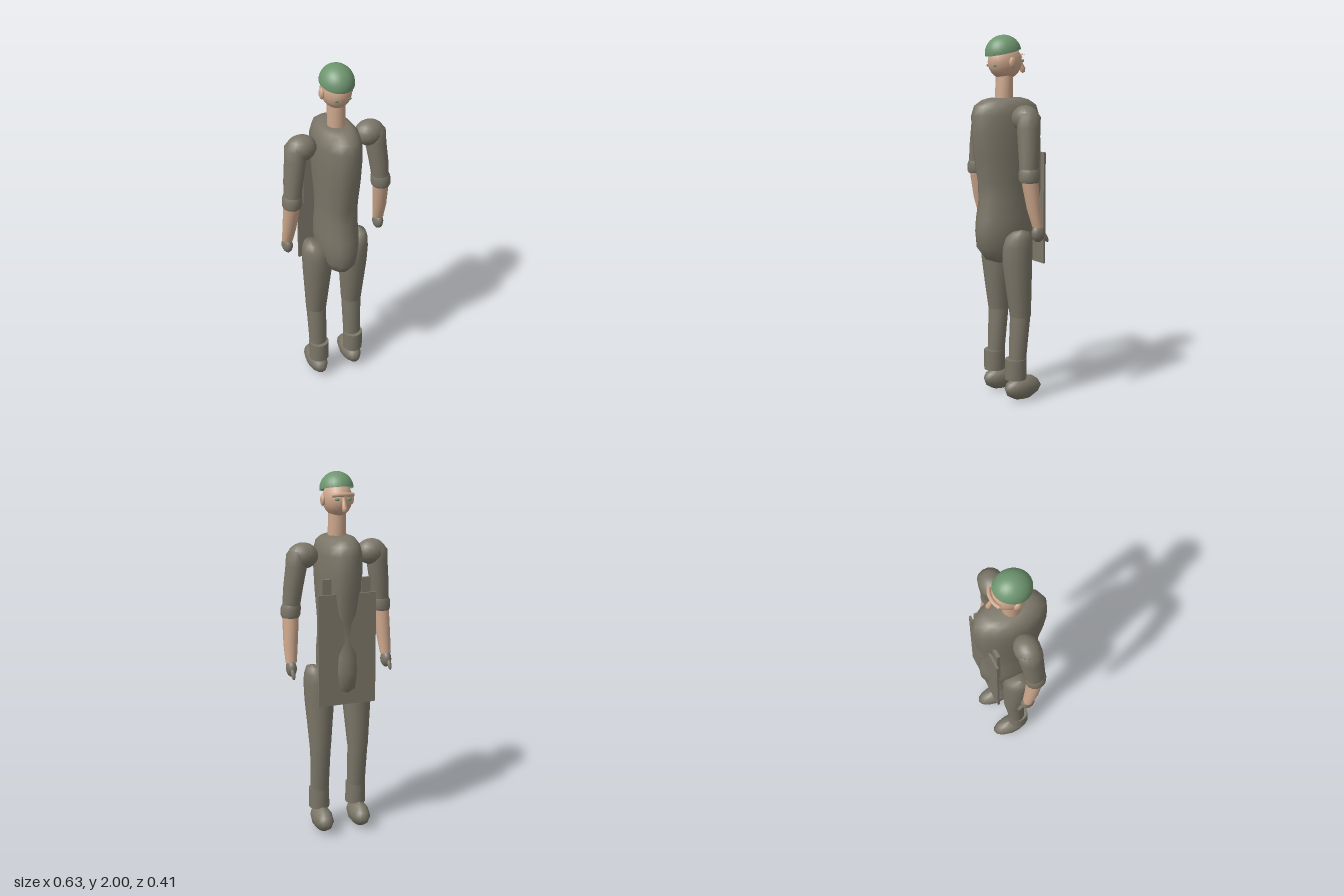
import * as THREE from 'three';

const mat = (name, color, side = THREE.FrontSide) => {
  const m = new THREE.MeshStandardMaterial({ color, side });
  m.name = name;
  return m;
};

// Stacked elliptical rings, bottom to top: [y, rx, rz, cx, cz]. Repeat a ring for a hard edge.
function loft(rings, seg = 14) {
  const pos = [], idx = [];
  rings.forEach(([y, rx, rz, cx = 0, cz = 0], i) => {
    for (let j = 0; j < seg; j++) {
      const a = (j / seg) * Math.PI * 2;
      pos.push(cx + rx * Math.sin(a), y, cz + rz * Math.cos(a));
      if (i === rings.length - 1) continue;
      const p = i * seg + j, q = i * seg + ((j + 1) % seg);
      idx.push(p, q, q + seg, p, q + seg, p + seg);
    }
  });
  const g = new THREE.BufferGeometry();
  g.setAttribute('position', new THREE.Float32BufferAttribute(pos, 3));
  g.setIndex(idx);
  g.computeVertexNormals();
  return g;
}

// Rings closed with flat, hard-edged ends.
function capped(rings, seg) {
  const end = ([y, , , cx, cz]) => [y, 0, 0, cx, cz];
  const a = rings[0], b = rings[rings.length - 1];
  return loft([end(a), a, ...rings, b, end(b)], seg);
}

const ball = (rx, ry, rz, w = 16, h = 12) => new THREE.SphereGeometry(1, w, h).scale(rx, ry, rz);

export function createModel() {
  const model = new THREE.Group();
  model.name = 'figure';
  const cloth = mat('cloth grey', 0x7b7668);
  const skin = mat('skin', 0xcda78c);
  const green = mat('cap green', 0x6e956f, THREE.DoubleSide);

  const add = (name, geo, material, x = 0, y = 0, z = 0, rx = 0, rz = 0) => {
    const m = new THREE.Mesh(geo, material);
    m.name = name;
    m.position.set(x, y, z);
    m.rotation.set(rx, 0, rz);
    model.add(m);
    return m;
  };

  // Torso, deep from front to back
  add('torso', loft([
    [0.768, 0, 0], [0.772, 0.035, 0.06], [0.795, 0.07, 0.125], [0.86, 0.098, 0.176],
    [0.95, 0.11, 0.183], [1.02, 0.111, 0.177], [1.12, 0.106, 0.16], [1.22, 0.107, 0.163],
    [1.36, 0.115, 0.19], [1.48, 0.12, 0.203], [1.58, 0.119, 0.204], [1.63, 0.108, 0.188],
    [1.66, 0.085, 0.14], [1.67, 0.06, 0.1], [1.672, 0, 0],
  ]), cloth);

  // Neck and head
  add('neck', loft([[1.64, 0.05, 0.05, 0, 0.01], [1.8, 0.048, 0.046, 0, 0.005]]), skin);
  add('head', ball(0.078, 0.094, 0.098, 20, 14), skin, 0, 1.863, 0.003);
  add('nose', loft([
    [1.8, 0, 0, 0, -0.112], [1.807, 0.012, 0.012, 0, -0.112], [1.825, 0.015, 0.016, 0, -0.111],
    [1.85, 0.011, 0.014, 0, -0.1], [1.88, 0.007, 0.01, 0, -0.09],
  ], 10), skin);
  const browPath = new THREE.CatmullRomCurve3([
    [-0.058, 1.89, -0.08], [-0.03, 1.893, -0.094], [0, 1.894, -0.098],
    [0.03, 1.893, -0.094], [0.058, 1.89, -0.08],
  ].map((p) => new THREE.Vector3(...p)));
  add('brow', new THREE.TubeGeometry(browPath, 12, 0.011, 8), skin);

  // Cap, lower at +z
  add('cap', new THREE.SphereGeometry(1, 24, 10, 0, Math.PI * 2, 0, Math.PI / 2).scale(0.09, 0.092, 0.101),
    green, 0, 1.912, 0.014, 0.22);

  // Plate with two straps
  add('plate', new THREE.BoxGeometry(0.325, 0.61, 0.012), cloth, 0, 1.075, -0.149);

  for (const s of [1, -1]) {
    const side = s > 0 ? 'left' : 'right';
    const part = (name, geo, material, x, y, z, rx, rz = 0) =>
      add(`${side}${name}`, geo, material, (x ?? 0) * s, y, z, rx, rz * s);
    // Mirror ring centres across x
    const m = (rings) => rings.map(([y, rx, rz, cx, cz]) => [y, rx, rz, cx * s, cz]);

    // Face details
    part('Ear', ball(0.013, 0.031, 0.022, 12, 8), skin, 0.08, 1.858, 0.005);
    part('Eye', ball(0.014, 0.008, 0.008, 8, 6), green, 0.033, 1.868, -0.088);
    part('HeadMark', ball(0.016, 0.007, 0.006, 8, 6), green, 0.033, 1.843, 0.088);

    part('Strap', new THREE.BoxGeometry(0.05, 0.32, 0.018), cloth, 0.11, 1.3, -0.13);

    // Arm
    part('Shoulder', ball(0.083, 0.07, 0.069), cloth, 0.195, 1.57, 0);
    part('UpperArm', loft(m([
      [1.27, 0.046, 0.05, 0.26, 0.02], [1.4, 0.053, 0.058, 0.247, 0.012],
      [1.52, 0.058, 0.064, 0.23, 0.003], [1.58, 0.056, 0.064, 0.229, 0],
      [1.615, 0.038, 0.045, 0.218, 0], [1.632, 0, 0, 0.205, 0],
    ])), cloth);
    part('SleeveCuff', capped(m([
      [1.24, 0.048, 0.051, 0.262, 0.018], [1.255, 0.054, 0.057, 0.261, 0.019],
      [1.292, 0.054, 0.057, 0.259, 0.019], [1.31, 0.048, 0.052, 0.257, 0.018],
    ])), cloth);
    part('Forearm', capped(m([
      [1.0, 0.031, 0.027, 0.275, -0.026], [1.1, 0.039, 0.037, 0.27, -0.004],
      [1.27, 0.046, 0.046, 0.261, 0.02],
    ])), skin);
    part('Hand', ball(0.029, 0.047, 0.041, 12, 10), cloth, 0.276, 0.967, -0.03);
    part('Thumb', ball(0.012, 0.034, 0.013, 8, 8), cloth, 0.28, 0.945, -0.072, 0.5);

    // Leg
    part('Thigh', loft(m([
      [0.48, 0.059, 0.058, 0.111, -0.027], [0.62, 0.07, 0.07, 0.11, -0.018],
      [0.77, 0.083, 0.08, 0.109, -0.008], [0.87, 0.083, 0.084, 0.113, -0.006],
      [0.92, 0.07, 0.074, 0.123, -0.007], [0.955, 0.04, 0.05, 0.142, -0.007],
      [0.968, 0, 0, 0.15, -0.007],
    ])), cloth);
    part('Shin', loft(m([
      [0.2, 0.05, 0.047, 0.11, -0.007], [0.34, 0.054, 0.052, 0.11, -0.016],
      [0.49, 0.058, 0.057, 0.111, -0.027],
    ])), cloth);
    part('BootCuff', capped(m([
      [0.125, 0.058, 0.06, 0.11, 0.002], [0.24, 0.057, 0.06, 0.11, 0.002],
    ])), cloth);
    part('Foot', loft(m([
      [0, 0, 0, 0.11, -0.04], [0.008, 0.028, 0.055, 0.11, -0.042], [0.035, 0.05, 0.1, 0.11, -0.042],
      [0.07, 0.058, 0.117, 0.11, -0.046], [0.1, 0.052, 0.1, 0.11, -0.043],
      [0.125, 0.034, 0.062, 0.11, -0.046], [0.138, 0, 0, 0.11, -0.06],
    ])), cloth);
  }
  return model;
}
